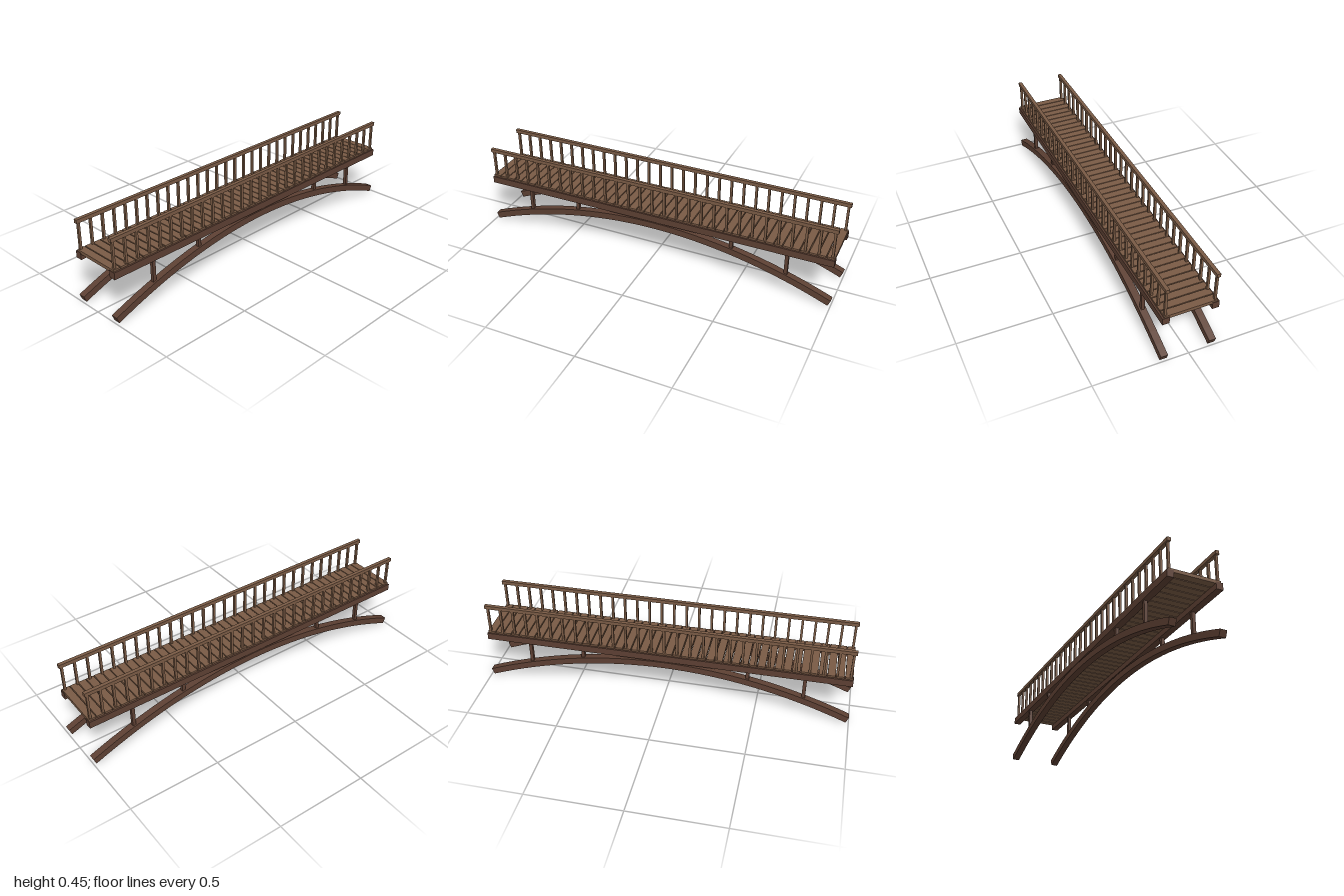
import * as THREE from 'three';

const timber = new THREE.MeshStandardMaterial({ color: 0x5d4033, flatShading: true });
const board = new THREE.MeshStandardMaterial({ color: 0x7a5b45, flatShading: true });

// Box spanning the heights y0 to y1
function box(name, material, w, y0, y1, d, x, z) {
  const mesh = new THREE.Mesh(new THREE.BoxGeometry(w, y1 - y0, d), material);
  mesh.position.set(x, (y0 + y1) / 2, z);
  mesh.name = name;
  return mesh;
}

const HALF = 0.992, SIDE = 0.129;
const RISE = 0.203, CROWN = 0.2205, ARCH_T = 0.036;
const archY = x => CROWN - RISE * (x / HALF) ** 2;

// Curved rib: a band of even thickness along a shallow parabola
function archGeometry(depth) {
  const upper = [], lower = [], n = 32;
  for (let i = 0; i <= n; i++) {
    const x = HALF * (2 * i / n - 1);
    const normal = new THREE.Vector2(2 * RISE * x / HALF ** 2, 1).setLength(ARCH_T / 2);
    const p = new THREE.Vector2(x, archY(x));
    upper.push(p.clone().add(normal));
    lower.push(p.clone().sub(normal));
  }
  const shape = new THREE.Shape([...lower, ...upper.reverse()]);
  const geo = new THREE.ExtrudeGeometry(shape, { depth, bevelEnabled: false });
  return geo.translate(0, 0, -depth / 2);
}

export function createModel() {
  const bridge = new THREE.Group();
  bridge.name = 'footbridge';

  // Deck of separate cross planks
  const deck = new THREE.Group();
  deck.name = 'deck';
  const planks = 44, pitch = 2 * HALF / planks;
  for (let i = 0; i < planks; i++) {
    const x = -HALF + (i + 0.5) * pitch;
    deck.add(box('plank', board, pitch - 0.005, 0.273, 0.291, 0.277, x, 0));
  }
  bridge.add(deck);

  const ribGeometry = archGeometry(0.037);
  for (const s of [1, -1]) {
    const z = s * SIDE;
    const side = new THREE.Group();
    side.name = s > 0 ? 'frontSide' : 'backSide';

    // Arch rib and the straight beam above it
    const rib = new THREE.Mesh(ribGeometry, timber);
    rib.name = 'archRib';
    rib.position.z = z;
    side.add(rib, box('deckBeam', timber, 2 * HALF, 0.243, 0.281, 0.037, 0, z));

    // Struts between rib and beam
    for (const x of [-0.75, -0.45, 0, 0.45, 0.75]) {
      side.add(box('strut', timber, 0.0185, archY(x) + 0.014, 0.245, 0.0185, x, z));
    }

    // Railing
    const posts = 29;
    for (let i = 0; i < posts; i++) {
      const x = 0.977 * (2 * i / (posts - 1) - 1);
      side.add(box('railPost', board, 0.0125, 0.285, 0.432, 0.0125, x, z));
    }
    side.add(box('handrail', board, 2 * HALF, 0.435, 0.455, 0.0195, 0, z));
    bridge.add(side);
  }
  return bridge;
}
